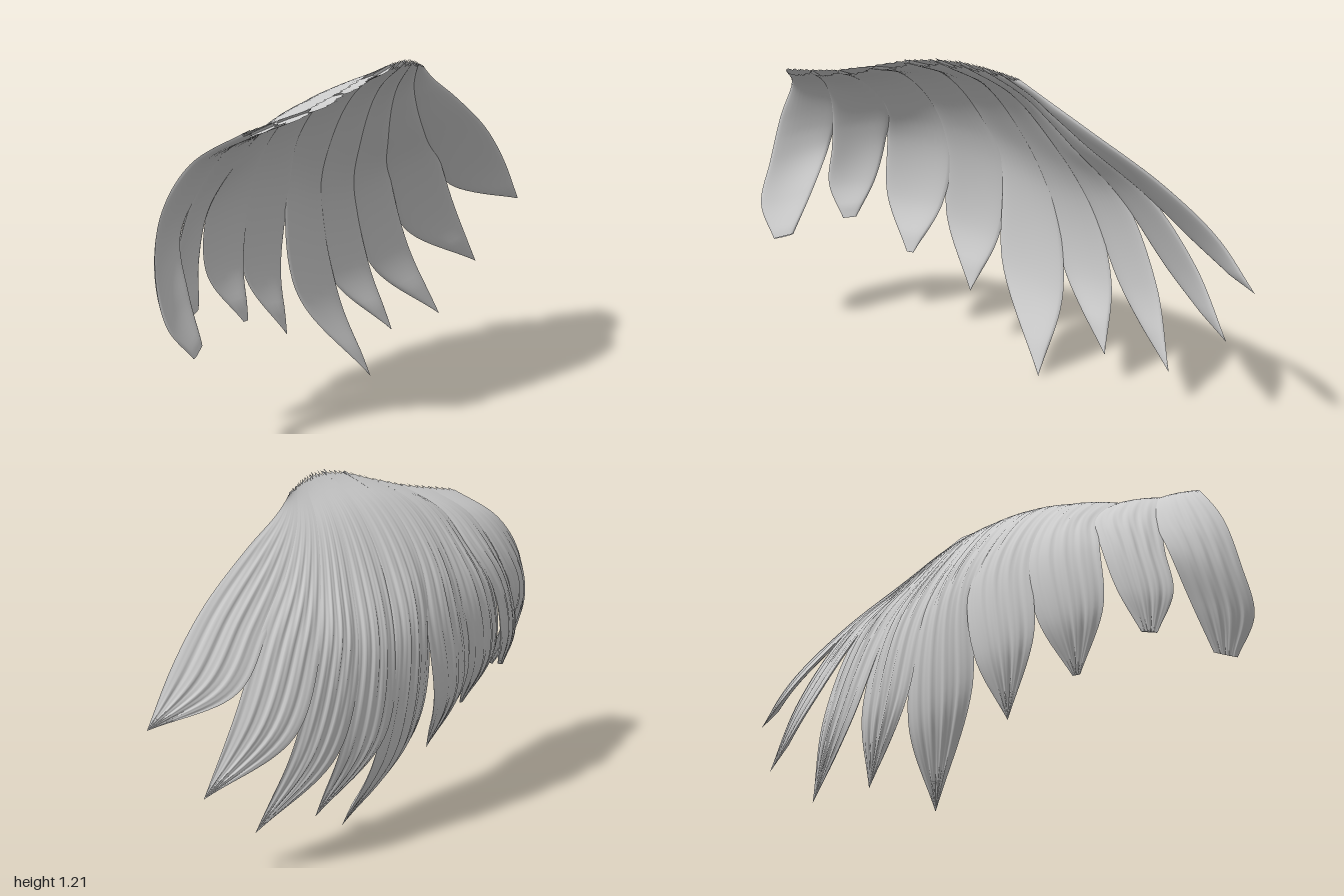
import * as THREE from 'three';

const material = new THREE.MeshStandardMaterial({ color: 0xcccccc, side: THREE.DoubleSide });
const curve = (points) => new THREE.CatmullRomCurve3(points);
const hoop = (...points) => curve(points.map((p) => new THREE.Vector3(...p)));

// Hoops run along the hair from the front lock to the rear lock, at four levels down the fall
const root = hoop([.33, 1.06, .72], [.32, 1.11, .42], [.25, 1.2, .08], [.18, 1.2, -.09], [.1, 1.16, -.21]);
const shoulder = hoop([.2, .95, .85], [.15, 1.01, .55], [.07, 1.09, .24], [.01, 1.08, -.03], [0, 1.06, -.19], [.06, 1.1, -.3]);
const temple = hoop([.18, .8, .95], [.03, .89, .57], [-.09, .93, .25], [-.14, .89, -.06], [-.14, .87, -.29], [.01, 1.01, -.46]);
const waist = hoop([.21, .62, 1], [-.03, .74, .64], [-.18, .72, .23], [-.26, .64, -.11], [-.25, .71, -.4], [-.08, .86, -.7]);

// Tip of each lock and how wide it stays below the waist
const LOCKS = [
  { tip: [.25, .36, .87], spread: .8 },
  { tip: [.04, .42, .73], spread: .7 },
  { tip: [-.03, .33, .47], spread: .85 },
  { tip: [-.11, .22, .23], spread: .9 },
  { tip: [-.09, 0, -.14], spread: 1.2 },
  { tip: [-.21, .11, -.35], spread: 1.1 },
  { tip: [-.24, .12, -.62], spread: 1 },
  { tip: [-.27, .29, -.84], spread: 1 },
  { tip: [-.2, .53, -1], spread: 1 },
];

// Front and rear edge of a lock: down through the hoops, bowed outward, closing at the tip
function lockEdges({ tip, spread }, i) {
  const end = new THREE.Vector3(...tip);
  const seams = [i - 0.05, i + 1.05].map((s) => THREE.MathUtils.clamp(s / LOCKS.length, 0, 1));
  const [front, rear] = seams.map((t) => waist.getPoint(t));
  const middle = front.clone().lerp(rear, 0.5);
  const fall = middle.distanceTo(end);
  const bow = new THREE.Vector3(-0.08 * Math.min(1, i / 2), 0, 0.08);
  const belly = middle.clone().lerp(end, 0.55).addScaledVector(bow, fall);
  const blunt = 0.3 * Math.max(0, 1 - i / 3);
  return seams.map((t, k) => {
    const half = (k ? rear : front).clone().sub(middle);
    return curve([
      root.getPoint(t), shoulder.getPoint(t), temple.getPoint(t),
      middle.clone().addScaledVector(half, Math.min(1, spread * 1.15)),
      belly.clone().addScaledVector(half, spread),
      end.clone().addScaledVector(half, blunt),
    ]);
  });
}

// Lens-shaped lock lofted between its edges, with fine strand ridges and a ragged root
function lockGeometry(lock, seed) {
  const COLS = 36, ROWS = 48;
  const [a, b] = lockEdges(lock, seed);
  const bulge = THREE.MathUtils.lerp(0.11, 0.02, seed / LOCKS.length);
  const middle = (v) => a.getPoint(v).lerp(b.getPoint(v), 0.5);
  const positions = [], index = [];
  for (const outer of [true, false]) {
    const start = positions.length / 3;
    for (let j = 0; j <= ROWS; j++) {
      for (let i = 0; i <= COLS; i++) {
        const u = i / COLS;
        const rag = 0.016 * (1 + Math.sin(i * 0.55 + seed * 2) * Math.sin(i * 1.3 + seed));
        const v = rag + (1 - rag) * (j / ROWS);
        const p = a.getPoint(v), q = b.getPoint(v);
        const width = p.distanceTo(q);
        const vn = THREE.MathUtils.clamp(v, 0.02, 0.97);
        const across = b.getPoint(vn).sub(a.getPoint(vn));
        const along = middle(vn + 0.02).sub(middle(vn - 0.02));
        const normal = across.cross(along).normalize();
        const lens = 4 * u * (1 - u);
        let offset = bulge * width * lens * Math.min(1, v * 2);
        if (outer) {
          const ridge = Math.sin(u * 27 + seed * 2 + 2 * Math.sin(v * 5 + seed)) + 0.6 * Math.sin(u * 61 + v * 6 + seed);
          offset += Math.min(0.003, width * 0.025) * ridge * Math.sqrt(lens) * THREE.MathUtils.smoothstep(v, 0.1, 0.6);
        } else {
          offset -= Math.min(0.02, width * 0.2) * Math.sqrt(lens);
        }
        p.lerp(q, u).addScaledVector(normal, offset);
        positions.push(p.x, p.y, p.z);
      }
    }
    for (let j = 0; j < ROWS; j++) {
      for (let i = 0; i < COLS; i++) {
        const k = start + j * (COLS + 1) + i, n = k + COLS + 1;
        if (outer) index.push(k, k + 1, n, k + 1, n + 1, n);
        else index.push(k, n, k + 1, k + 1, n, n + 1);
      }
    }
  }
  const geometry = new THREE.BufferGeometry();
  geometry.setAttribute('position', new THREE.Float32BufferAttribute(positions, 3));
  geometry.setIndex(index);
  geometry.computeVertexNormals();
  return geometry;
}

export function createModel() {
  const group = new THREE.Group();
  group.name = 'sweptHair';
  LOCKS.forEach((lock, i) => {
    const mesh = new THREE.Mesh(lockGeometry(lock, i), material);
    mesh.name = `hairLock${i + 1}`;
    group.add(mesh);
  });
  return group;
}
